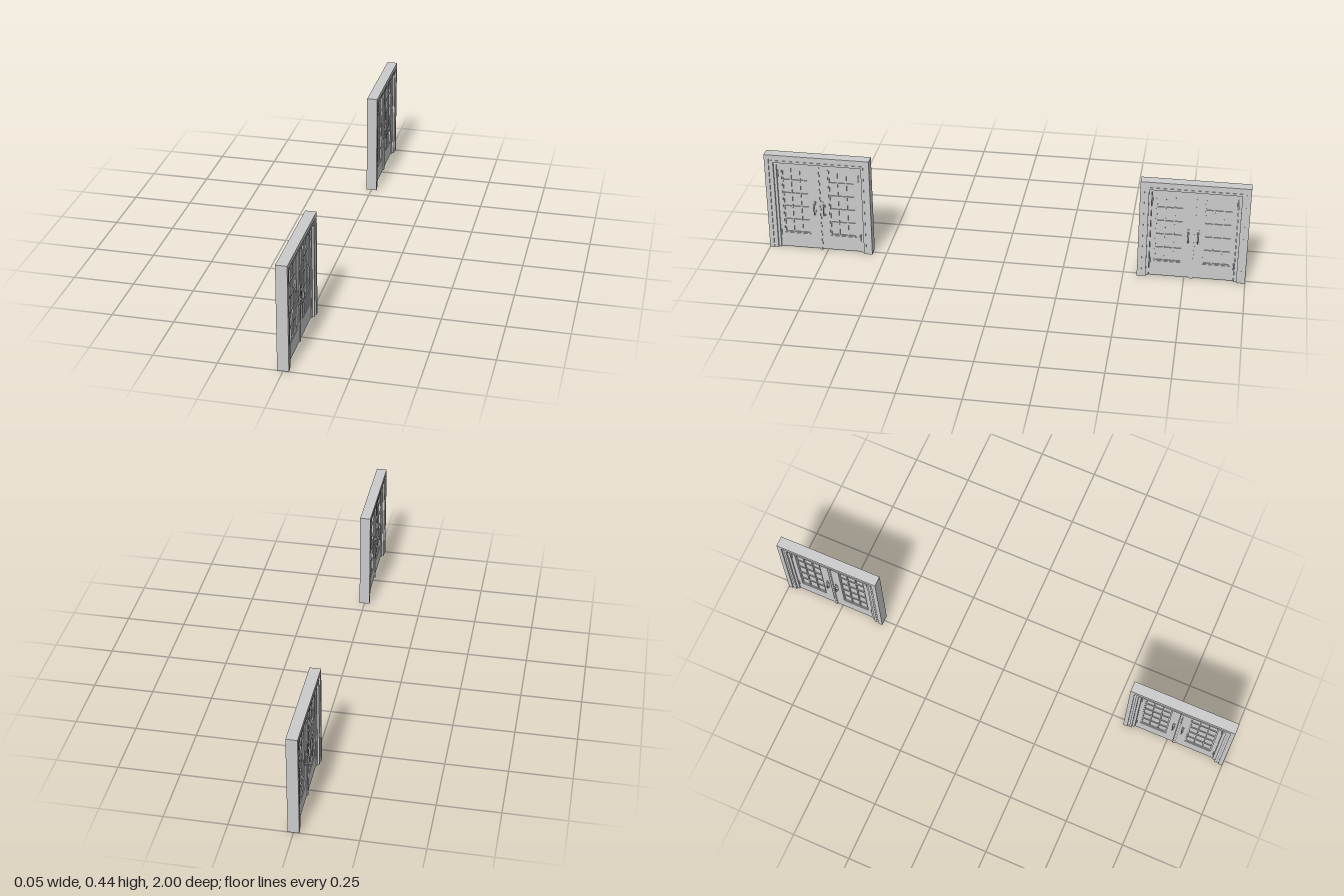
import * as THREE from 'three';

const W = 0.443, H = 0.438;            // overall size of one doorway
const JAMB = 0.047;                    // total frame width
const LEAF_X = 0.008;                  // half thickness of a leaf
const mat = new THREE.MeshStandardMaterial({ color: 0xcccccc });

function add(parent, geo, name, x = 0, y = 0, z = 0) {
  const m = new THREE.Mesh(geo, mat);
  m.name = name;
  m.position.set(x, y, z);
  parent.add(m);
  return m;
}

const box = (parent, name, sx, sy, sz, x, y, z) =>
  add(parent, new THREE.BoxGeometry(sx, sy, sz), name, x, y, z);

const rect = (P, u0, v0, u1, v1) =>
  new P([[u0, v0], [u1, v0], [u1, v1], [u0, v1]].map(p => new THREE.Vector2(...p)));

// Extrudes a shape drawn in (z, y) into a slab of half thickness hx along x
function slab(shape, hx) {
  const g = new THREE.ExtrudeGeometry(shape, { depth: 2 * hx, bevelEnabled: false });
  return g.translate(0, 0, -hx).rotateY(-Math.PI / 2);
}

// Upside-down U between two offsets from the outer edge
function surround(o0, o1) {
  const a = W / 2 - o0, b = W / 2 - o1;
  return new THREE.Shape([
    [-a, 0], [-b, 0], [-b, H - o1], [b, H - o1], [b, 0], [a, 0], [a, H - o0], [-a, H - o0],
  ].map(p => new THREE.Vector2(...p)));
}

// Pull handle on one face: plate, bowed grip, collars and thumb piece
function pullHandle() {
  const g = new THREE.Group();
  g.name = 'pullHandle';
  box(g, 'handlePlate', 0.002, 0.064, 0.01, 0.001, 0.195, 0);
  const path = new THREE.CatmullRomCurve3([
    [0.001, 0.171], [0.009, 0.169], [0.014, 0.178], [0.0145, 0.192],
    [0.013, 0.204], [0.008, 0.211], [0.001, 0.21],
  ].map(([x, y]) => new THREE.Vector3(x, y, 0)));
  add(g, new THREE.TubeGeometry(path, 24, 0.002, 8), 'handleGrip');
  for (const y of [0.171, 0.21]) {
    const c = add(g, new THREE.CylinderGeometry(0.0035, 0.0045, 0.004, 12), 'handleCollar', 0.003, y);
    c.rotation.z = -Math.PI / 2;
  }
  box(g, 'thumbPiece', 0.008, 0.002, 0.006, 0.006, 0.217, 0);
  return g;
}

// One glazed leaf; it spans z from 0 to the jamb and is mirrored by dir
function leaf(dir) {
  const g = new THREE.Group();
  g.name = dir > 0 ? 'leftLeaf' : 'rightLeaf';
  const z0 = 0.042, z1 = 0.155, y0 = 0.07, y1 = 0.38;
  const span = (P, a, b, c, d) => rect(P, Math.min(dir * a, dir * c), b, Math.max(dir * a, dir * c), d);

  const panel = span(THREE.Shape, 0.001, 0.003, W / 2 - JAMB - 0.001, H - JAMB - 0.001);
  panel.holes.push(span(THREE.Path, z0, y0, z1, y1));
  add(g, slab(panel, LEAF_X), 'leafPanel');

  // stepped bead around the glass
  const bead = span(THREE.Shape, z0, y0, z1, y1);
  bead.holes.push(span(THREE.Path, z0 + 0.005, y0 + 0.005, z1 - 0.005, y1 - 0.005));
  add(g, slab(bead, 0.0055), 'glassBead');
  box(g, 'glass', 0.003, y1 - y0, z1 - z0, 0, (y0 + y1) / 2, dir * (z0 + z1) / 2);

  // glazing bars, three panes across and five high
  for (let i = 1; i < 3; i++)
    box(g, 'verticalBar', 0.011, y1 - y0, 0.005, 0, (y0 + y1) / 2, dir * (z0 + (z1 - z0) * i / 3));
  for (let j = 1; j < 5; j++)
    box(g, 'horizontalBar', 0.0108, 0.005, z1 - z0, 0, y0 + (y1 - y0) * j / 5, dir * (z0 + z1) / 2);

  // handles and hinges on both faces
  for (const s of [1, -1]) {
    const h = pullHandle();
    h.rotation.y = s > 0 ? 0 : Math.PI;
    h.position.set(s * LEAF_X, 0, dir * 0.02);
    g.add(h);
    for (const y of [0.07, 0.35])
      add(g, new THREE.CylinderGeometry(0.0025, 0.0025, 0.032, 10), 'hinge', s * LEAF_X, y, dir * 0.171);
  }
  return g;
}

function doorway(name, z) {
  const g = new THREE.Group();
  g.name = name;
  g.position.z = z;
  // stepped frame, deepest at the outside
  const steps = [[0, 0.018, 0.0222], [0.018, 0.026, 0.0175], [0.026, 0.036, 0.0195], [0.036, JAMB, 0.012]];
  for (const [o0, o1, hx] of steps) add(g, slab(surround(o0, o1), hx), 'frameStep');
  g.add(leaf(1), leaf(-1));
  // cover strip where the leaves meet
  const top = H - JAMB;
  box(g, 'meetingStrip', 0.024, top, 0.008, 0, top / 2, 0);
  box(g, 'meetingStripBase', 0.020, top, 0.014, 0, top / 2, 0);
  return g;
}

export function createModel() {
  const model = new THREE.Group();
  model.name = 'doubleDoors';
  const z = 1 - W / 2;
  model.add(doorway('frontDoorway', z), doorway('backDoorway', -z));
  return model;
}
